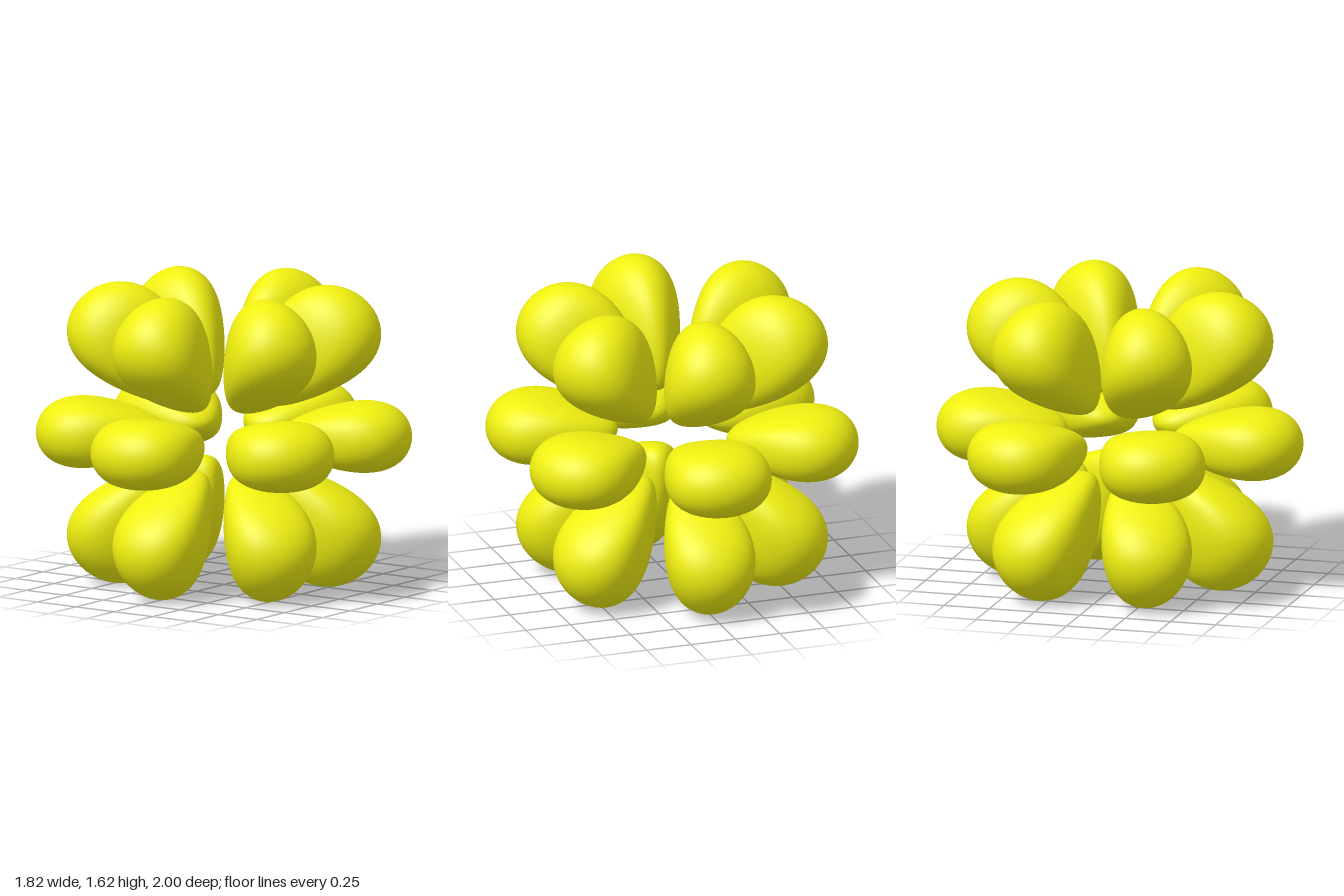
import * as THREE from 'three';

const CENTRE_Y = 0.8125;
const POWER = 6, PEAK = 0.577;              // radial falloff
const radial = (r) => Math.pow(r / PEAK, POWER) * Math.exp(POWER * (1 - r / PEAK));
const LEVEL = radial(1);                    // equatorial lobes reach radius 1

// Field with three bands of latitude and six sectors; sign picks the band
function field(p, sign) {
  const r = p.length();
  if (r < 1e-6) return -LEVEL;
  const u = (p.y / r) ** 2;
  const band = sign * Math.pow(1 - u, 1.5) * (9 * u - 1);
  const sector = Math.cos(3 * Math.atan2(p.x, p.z));
  if (band <= 0 || sector <= 0) return -LEVEL;
  return radial(r) * band * sector - LEVEL;
}

// One teardrop lobe pointing to +z at the given latitude: a sphere pushed out to the level surface
function lobeGeometry(latitude, sign) {
  const geo = new THREE.SphereGeometry(1, 56, 40);
  geo.rotateX(Math.PI / 2 - latitude);
  const pos = geo.attributes.position, nor = geo.attributes.normal;
  const axis = new THREE.Vector3(0, Math.sin(latitude), Math.cos(latitude));
  const core = axis.clone().multiplyScalar(0.62);
  const dir = new THREE.Vector3(), p = new THREE.Vector3(), n = new THREE.Vector3();
  const at = (t) => field(p.copy(core).addScaledVector(dir, t), sign);
  for (let i = 0; i < pos.count; i++) {
    dir.fromBufferAttribute(pos, i).normalize();
    let lo = 0, hi = 0.01;
    while (at(hi) > 0 && hi < 1) { lo = hi; hi += 0.01; }
    for (let k = 0; k < 24; k++) {
      const mid = (lo + hi) / 2;
      if (at(mid) > 0) lo = mid; else hi = mid;
    }
    p.copy(core).addScaledVector(dir, lo);
    pos.setXYZ(i, p.x, p.y, p.z);
    // Smooth normal from the field's slope
    const e = 1e-4, q = new THREE.Vector3();
    for (const k of ['x', 'y', 'z']) {
      q.copy(p); q[k] += e;
      const a = field(q, sign);
      q[k] -= 2 * e;
      n[k] = field(q, sign) - a;
    }
    n.normalize();
    nor.setXYZ(i, n.x, n.y, n.z);
  }
  return geo;
}

export function createModel() {
  const model = new THREE.Group();
  model.name = 'lobedCluster';
  const material = new THREE.MeshStandardMaterial({ color: 0xeeee11 });
  const slanted = lobeGeometry(Math.asin(Math.sqrt(7 / 15)), 1);
  const level = lobeGeometry(0, -1);

  // Three rings of six lobes; the lower ring is the upper one turned over
  const rings = [
    ['upperLobe', slanted, 0],
    ['middleLobe', level, 0],
    ['lowerLobe', slanted, Math.PI],
  ];
  for (const [name, geometry, flip] of rings) {
    const ring = new THREE.Group();
    ring.name = name + 'Ring';
    ring.position.y = CENTRE_Y;
    ring.rotation.z = flip;
    for (let i = 0; i < 6; i++) {
      const lobe = new THREE.Mesh(geometry, material);
      lobe.name = name + (i + 1);
      lobe.rotation.y = (i * Math.PI) / 3;
      ring.add(lobe);
    }
    model.add(ring);
  }
  return model;
}
